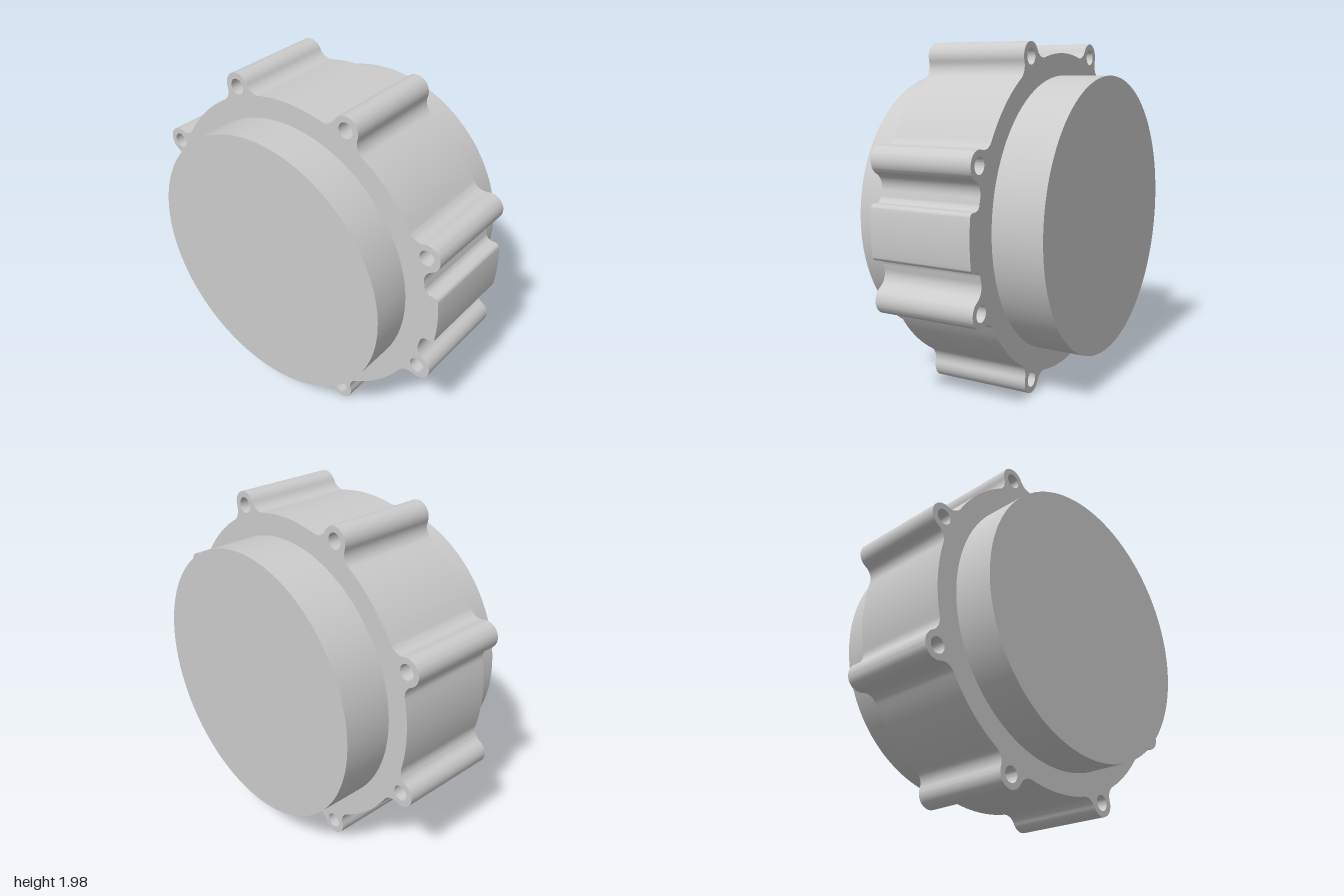
import * as THREE from 'three';
import { toCreasedNormals } from 'three/addons/utils/BufferGeometryUtils.js';

const RING = 0.931;                               // flange radius
const LUG = { dist: 0.984, r: 0.08, hole: 0.045, fillet: 0.08 };
const PAD = { r: 1.008, half: 0.152, corner: 0.025, fillet: 0.04 };
const AXIS_Y = 0.992, AXIS_Z = -0.008;            // main axis runs along x

// Outline of the flange: ring, rounded pad at angle 0, eight filleted lugs
function flangeShape() {
  const pts = [];
  const polar = (r, a) => new THREE.Vector2(r * Math.cos(a), r * Math.sin(a));
  // The last point of each arc is left to the arc that follows
  const arc = (c, r, from, to, n) => {
    for (let i = 0; i < n; i++) pts.push(polar(r, from + (to - from) * i / n).add(c));
  };
  // Wraps an angle so the sweep from a start goes one way only
  const sweepTo = (from, to, dir) => {
    while ((to - from) * dir < 0) to += dir * 2 * Math.PI;
    while ((to - from) * dir > 2 * Math.PI) to -= dir * 2 * Math.PI;
    return to;
  };
  const direction = (a, b) => Math.atan2(b.y - a.y, b.x - a.x);
  const origin = new THREE.Vector2();

  // Pad
  const padAngle = Math.asin((PAD.half + PAD.fillet) / (RING + PAD.fillet));
  const cornerAngle = Math.asin((PAD.half - PAD.corner) / (PAD.r - PAD.corner));
  const fil = s => polar(RING + PAD.fillet, s * padAngle);
  const cor = s => polar(PAD.r - PAD.corner, s * cornerAngle);
  const q = Math.PI / 2;
  arc(fil(-1), PAD.fillet, Math.PI - padAngle, q, 8);
  pts.push(fil(-1).add(new THREE.Vector2(0, PAD.fillet)));
  arc(cor(-1), PAD.corner, -q, -cornerAngle, 8);
  arc(origin, PAD.r, -cornerAngle, cornerAngle, 10);
  arc(cor(1), PAD.corner, cornerAngle, q, 8);
  pts.push(cor(1).add(new THREE.Vector2(0, PAD.corner)));
  arc(fil(1), PAD.fillet, -q, padAngle - Math.PI, 8);

  // Lugs, each reached along a stretch of ring
  const f = LUG.fillet, d = LUG.dist, R = RING + f;
  const delta = Math.acos((R * R + d * d - (LUG.r + f) ** 2) / (2 * R * d));
  const holes = [];
  let ringStart = padAngle;
  for (let i = 0; i < 8; i++) {
    const a = (i + 0.5) * Math.PI / 4;
    const c = polar(d, a), f1 = polar(R, a - delta), f2 = polar(R, a + delta);
    arc(origin, RING, ringStart, a - delta, 16);
    const s1 = a - delta + Math.PI;
    arc(f1, f, s1, sweepTo(s1, direction(f1, c), -1), 10);
    const s2 = direction(c, f1);
    arc(c, LUG.r, s2, sweepTo(s2, direction(c, f2), 1), 24);
    const s3 = direction(f2, c);
    arc(f2, f, s3, sweepTo(s3, a + delta + Math.PI, -1), 10);
    ringStart = a + delta;
    holes.push(new THREE.Path().absarc(c.x, c.y, LUG.hole, 0, 2 * Math.PI, true));
  }
  arc(origin, RING, ringStart, 2 * Math.PI - padAngle, 10);

  const shape = new THREE.Shape(pts);
  shape.holes.push(...holes);
  return shape;
}

export function createModel() {
  const group = new THREE.Group();
  group.name = 'flangedHousing';
  const material = new THREE.MeshStandardMaterial({ color: 0xcccccc });

  // Flange with bolt lugs, extruded along x
  const depth = 0.613;
  const geo = new THREE.ExtrudeGeometry(flangeShape(), { depth, bevelEnabled: false, curveSegments: 24 });
  geo.rotateZ(THREE.MathUtils.degToRad(-0.35));
  geo.rotateY(-Math.PI / 2);
  geo.translate(0.278, AXIS_Y, AXIS_Z);
  const flange = new THREE.Mesh(toCreasedNormals(geo, 0.5), material);
  flange.name = 'boltFlange';

  // Round body standing out on both sides of the flange
  const body = new THREE.Mesh(new THREE.CylinderGeometry(0.802, 0.802, 1.15, 128), material);
  body.name = 'cylindricalBody';
  body.rotation.z = Math.PI / 2;
  body.position.set(-0.002, AXIS_Y + 0.002, AXIS_Z);

  group.add(flange, body);
  return group;
}
